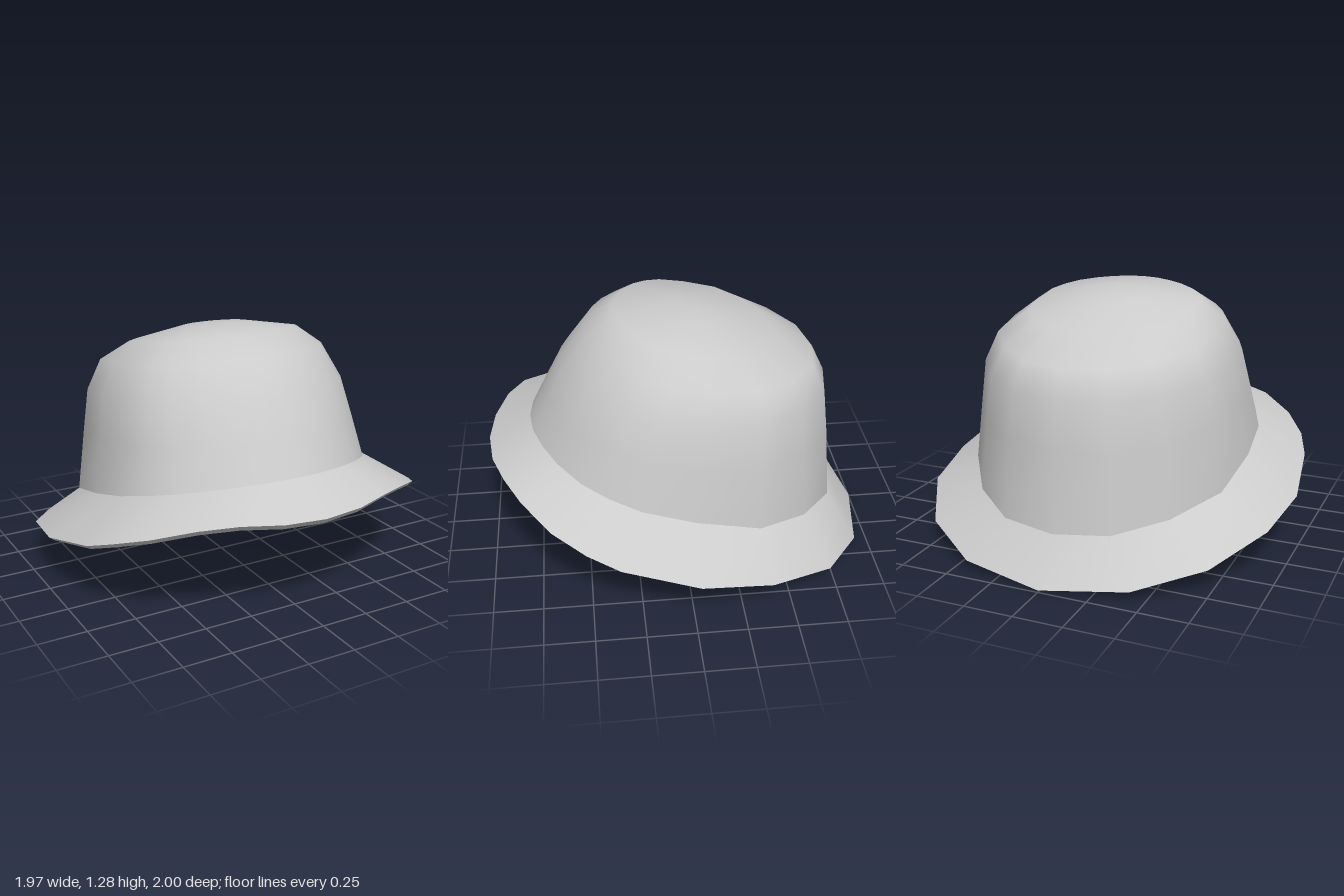
import * as THREE from 'three';

// Half outlines [x, z], from the front centre round the left side to the back
const BASE = [[0, .775], [.14, .76], [.28, .71], [.41, .64], [.545, .53], [.635, .4], [.7, .24],
  [.72, -.02], [.685, -.35], [.51, -.61], [.28, -.79], [0, -.845]];
// Brim edge [x, y, z]
const RIM = [[0, .555, .998], [.21, .56, .975], [.41, .57, .91], [.58, .55, .825], [.755, .49, .685],
  [.87, .43, .52], [.93, .37, .36], [.983, .275, -.02], [.93, .215, -.38], [.74, .125, -.71],
  [.43, .05, -.92], [0, .012, -1]];

// Completes a half outline by mirroring it in x
const mirror = half => [...half, ...half.slice(1, -1).reverse().map(([x, y, z]) => [-x, y, z])];

// Tilted ring: front z and y, back z and y, half width
function ring(fz, fy, bz, by, hw) {
  return mirror(BASE.map(([x, z]) => {
    const t = (.775 - z) / 1.62;
    return [x / .72 * hw, fy + (by - fy) * t, fz + (bz - fz) * t];
  }));
}

// Smooth surface through a series of rings, optionally closed by a centre point
function loft(name, rings, tip) {
  const n = rings[0].length, pos = rings.flat(2), idx = [];
  for (let i = 0; i < rings.length - 1; i++)
    for (let j = 0; j < n; j++) {
      const a = i * n + j, b = i * n + (j + 1) % n;
      idx.push(a, b, b + n, a, b + n, a + n);
    }
  if (tip) {
    const last = (rings.length - 1) * n;
    pos.push(...tip);
    for (let j = 0; j < n; j++) idx.push(last + j, last + (j + 1) % n, last + n);
  }
  const g = new THREE.BufferGeometry();
  g.setAttribute('position', new THREE.Float32BufferAttribute(pos, 3));
  g.setIndex(idx);
  g.computeVertexNormals();
  const mesh = new THREE.Mesh(g, new THREE.MeshStandardMaterial({ color: 0xcccccc, side: THREE.DoubleSide }));
  mesh.name = name;
  return mesh;
}

export function createModel() {
  const hat = new THREE.Group();
  hat.name = 'bucketHat';

  const base = ring(.775, .685, -.845, .235, .72);
  const rimTop = mirror(RIM);
  const rimBottom = rimTop.map(([x, y, z]) => [x * .975, Math.max(0, y - .02 - .01 * z), z * .975]);

  // Crown, leaning back with a sloping rounded top
  hat.add(loft('crown', [
    base,
    ring(.69, .85, -.81, .63, .675),
    ring(.6, 1.02, -.78, .87, .64),
    ring(.465, 1.2, -.71, 1.015, .56),
    ring(.32, 1.283, -.5, 1.13, .43),
    ring(.07, 1.283, -.22, 1.24, .17),
  ], [0, 1.27, -.08]));

  // Brim: upper face, edge, and underside running up into an inner band
  hat.add(loft('brimTop', [rimTop, base]));
  hat.add(loft('brimEdge', [rimBottom, rimTop]));
  hat.add(loft('brimUndersideAndBand', [
    ring(.65, .83, -.79, .42, .65),
    ring(.74, .66, -.82, .22, .69),
    rimBottom,
  ]));
  return hat;
}
